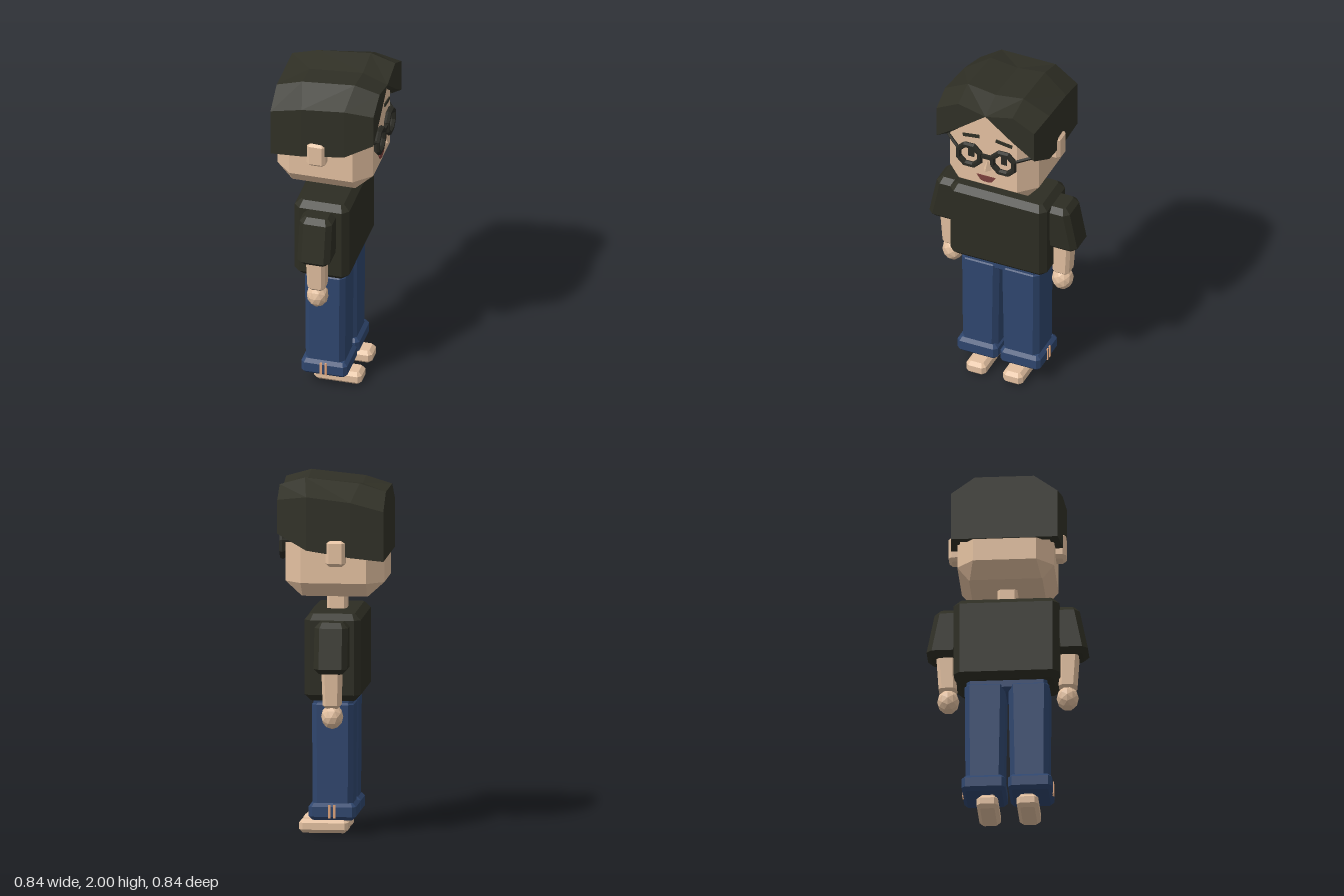
import * as THREE from 'three';

const mat = (name, color) => {
  const m = new THREE.MeshStandardMaterial({ color, flatShading: true });
  m.name = name;
  return m;
};

// Flat-faced geometry from a list of triangle corners
function facets(points) {
  const g = new THREE.BufferGeometry();
  g.setAttribute('position', new THREE.Float32BufferAttribute(points.flat(), 3));
  g.computeVertexNormals();
  return g;
}

// Loft through octagonal sections [y, x0, x1, z0, z1, cornerCut], bottom to top
function loft(sections) {
  const rings = sections.map(([y, x0, x1, z0, z1, c]) => [
    [x1, y, z1 - c], [x1, y, z0 + c], [x1 - c, y, z0], [x0 + c, y, z0],
    [x0, y, z0 + c], [x0, y, z1 - c], [x0 + c, y, z1], [x1 - c, y, z1]]);
  const t = [];
  for (let j = 0; j < rings.length - 1; j++) {
    for (let i = 0; i < 8; i++) {
      const k = (i + 1) % 8, a = rings[j], b = rings[j + 1];
      t.push(a[i], a[k], b[k], a[i], b[k], b[i]);
    }
  }
  const lo = rings[0], hi = rings[rings.length - 1];
  for (let i = 1; i < 7; i++) t.push(hi[0], hi[i], hi[i + 1], lo[0], lo[i + 1], lo[i]);
  return facets(t);
}

// Bevelled block between a bottom and a top rectangle [y, x0, x1, z0, z1]
function block(b, t, c) {
  const inset = ([y, x0, x1, z0, z1]) => [y, x0 + c, x1 - c, z0 + c, z1 - c, c * 0.4];
  return loft([inset(b), [b[0] + c, ...b.slice(1), c], [t[0] - c, ...t.slice(1), c], inset(t)]);
}

// Hair shell: half a cap of [x, y, z] rows, mirrored, with walls and underside
function hairGeometry() {
  const rows = [
    [[0, 1.92, 0.297], [0.165, 1.96, 0.297], [0.297, 1.89, 0.297]],
    [[0, 1.975, 0.155], [0.17, 2.0, 0.155], [0.318, 1.91, 0.134]],
    [[0, 1.95, -0.15], [0.165, 1.97, -0.15], [0.311, 1.88, -0.113]],
    [[0, 1.925, -0.297], [0.165, 1.925, -0.297], [0.297, 1.83, -0.297]]];
  const rim = [...rows[0], rows[1][2], rows[2][2], rows[3][2], rows[3][1], rows[3][0]];
  const hem = [1.92, 1.79, 1.7, 1.61, 1.57, 1.55, 1.55, 1.55];
  const low = rim.map(([x, , z], i) => [x, hem[i], z]);
  const inner = low.map(([x, y, z]) => [x * 0.84, y, z * 0.86]);
  const t = [];
  for (const s of [1, -1]) {
    const tri = (...p) => {
      const q = p.map(([x, y, z]) => [x * s, y, z]);
      t.push(...(s > 0 ? q : q.reverse()));
    };
    const quad = (a, b, c, d) => { tri(a, b, c); tri(a, c, d); };
    for (let r = 0; r < 3; r++) {
      for (let c = 0; c < 2; c++) quad(rows[r][c], rows[r][c + 1], rows[r + 1][c + 1], rows[r + 1][c]);
    }
    for (let i = 0; i < 7; i++) {
      if (i === 0) tri(low[0], low[1], rim[1]);
      else quad(low[i], low[i + 1], rim[i + 1], rim[i]);
      quad(inner[i], inner[i + 1], low[i + 1], low[i]);
    }
  }
  return facets(t);
}

export function createModel() {
  const skin = mat('skin', 0xe3c0a0);
  const hairMat = mat('dark hair', 0x303026);
  const shirtMat = mat('black shirt', 0x2d2d23);
  const denim = mat('blue denim', 0x2f466e);
  const frame = mat('dark frames', 0x2a2a24);
  const lip = mat('lips', 0x7c403c);
  const stitch = mat('cuff stitching', 0xe0a57c);
  hairMat.side = THREE.DoubleSide;

  const model = new THREE.Group();
  const figure = new THREE.Group();
  figure.name = 'figure';
  figure.rotation.y = Math.PI / 4;
  model.add(figure);
  const add = (name, geo, material, x = 0, y = 0, z = 0) => {
    const m = new THREE.Mesh(geo, material);
    m.name = name;
    m.position.set(x, y, z);
    figure.add(m);
    return m;
  };

  // Head, neck and hair
  add('head', loft([
    [1.34, -0.205, 0.205, -0.2, 0.17, 0.005],
    [1.42, -0.27, 0.27, -0.29, 0.263, 0.093],
    [1.8, -0.27, 0.27, -0.29, 0.263, 0.093],
    [1.9, -0.22, 0.22, -0.24, 0.263, 0.093]]), skin);
  add('neck', block([1.2, -0.055, 0.055, -0.065, 0.045], [1.42, -0.055, 0.055, -0.065, 0.045], 0.015), skin);
  add('hair', hairGeometry(), hairMat);

  // Nose and mouth
  add('nose', facets([
    [-0.025, 1.53, 0.262], [0.025, 1.53, 0.262], [0, 1.535, 0.3],
    [-0.025, 1.53, 0.262], [0, 1.535, 0.3], [0, 1.6, 0.262],
    [0.025, 1.53, 0.262], [0, 1.6, 0.262], [0, 1.535, 0.3]]), skin);
  const mouth = new THREE.Shape([[-0.058, 0.018], [-0.035, -0.014], [-0.012, -0.021], [0.012, -0.021],
    [0.035, -0.014], [0.058, 0.018]].map(([x, y]) => new THREE.Vector2(x, y)));
  add('mouth', new THREE.ExtrudeGeometry(mouth, { depth: 0.008, bevelEnabled: false }), lip, -0.008, 1.463, 0.26);

  // Torso and hips
  add('shirt', block([0.76, -0.295, 0.295, -0.167, 0.148], [1.25, -0.295, 0.295, -0.167, 0.148], 0.035), shirtMat);
  add('hips', block([0.7, -0.225, 0.225, -0.115, 0.105], [0.82, -0.225, 0.225, -0.115, 0.105], 0.02), denim);
  // Glasses bridge
  add('glassesBridge', new THREE.BoxGeometry(0.06, 0.02, 0.02), frame, 0, 1.63, 0.283);

  for (const s of [1, -1]) {
    const side = s > 0 ? 'left' : 'right';
    // Rectangle mirrored to this side
    const rect = (y, a, b, z0, z1) => (s > 0 ? [y, a, b, z0, z1] : [y, -b, -a, z0, z1]);
    const limb = (name, b, t, c, m) => add(side + name, block(rect(...b), rect(...t), c), m);

    // Face details
    limb('Ear', [1.52, 0.25, 0.328, -0.085, 0.025], [1.67, 0.25, 0.328, -0.085, 0.025], 0.018, skin);
    add(side + 'Eye', new THREE.BoxGeometry(0.036, 0.065, 0.008), frame, s * 0.1, 1.625, 0.264);
    const brow = add(side + 'Brow', new THREE.BoxGeometry(0.1, 0.02, 0.009), hairMat, s * 0.1, 1.738, 0.265);
    brow.rotation.z = -s * 0.14;

    // Glasses
    const rim = add(side + 'GlassesRim', new THREE.TorusGeometry(0.069, 0.018, 6, 8), frame, s * 0.104, 1.615, 0.283);
    rim.rotation.z = Math.PI / 8;
    const from = new THREE.Vector3(s * 0.175, 1.645, 0.28), hinge = new THREE.Vector3(s * 0.275, 1.66, 0.2);
    const to = new THREE.Vector3(s * 0.29, 1.66, -0.02);
    const temple = new THREE.CurvePath();
    temple.add(new THREE.LineCurve3(from, hinge));
    temple.add(new THREE.LineCurve3(hinge, to));
    add(side + 'GlassesTemple', new THREE.TubeGeometry(temple, 8, 0.01, 5), frame);

    // Arm
    limb('Sleeve', [0.93, 0.27, 0.45, -0.108, 0.08], [1.215, 0.25, 0.405, -0.108, 0.08], 0.03, shirtMat);
    limb('Forearm', [0.73, 0.285, 0.385, -0.065, 0.035], [1.0, 0.29, 0.4, -0.072, 0.042], 0.018, skin);
    add(side + 'Hand', new THREE.IcosahedronGeometry(0.062, 1), skin, s * 0.333, 0.682, -0.015).scale.y = 1.15;

    // Leg, cuff and foot
    limb('TrouserLeg', [0.1, 0.018, 0.232, -0.118, 0.108], [0.76, 0.008, 0.236, -0.122, 0.112], 0.028, denim);
    limb('TrouserCuff', [0.085, 0.008, 0.252, -0.137, 0.128], [0.18, 0.008, 0.252, -0.137, 0.128], 0.02, denim);
    for (const z of [-0.018, 0.01]) {
      add(side + 'CuffStitch', new THREE.BoxGeometry(0.008, 0.075, 0.012), stitch, s * 0.252, 0.135, z);
    }
    limb('Ankle', [0.05, 0.07, 0.15, -0.06, 0.02], [0.12, 0.07, 0.15, -0.06, 0.02], 0.01, skin);
    limb('Foot', [0, 0.052, 0.172, -0.085, 0.19], [0.078, 0.052, 0.172, -0.085, 0.19], 0.02, skin);
  }
  return model;
}
